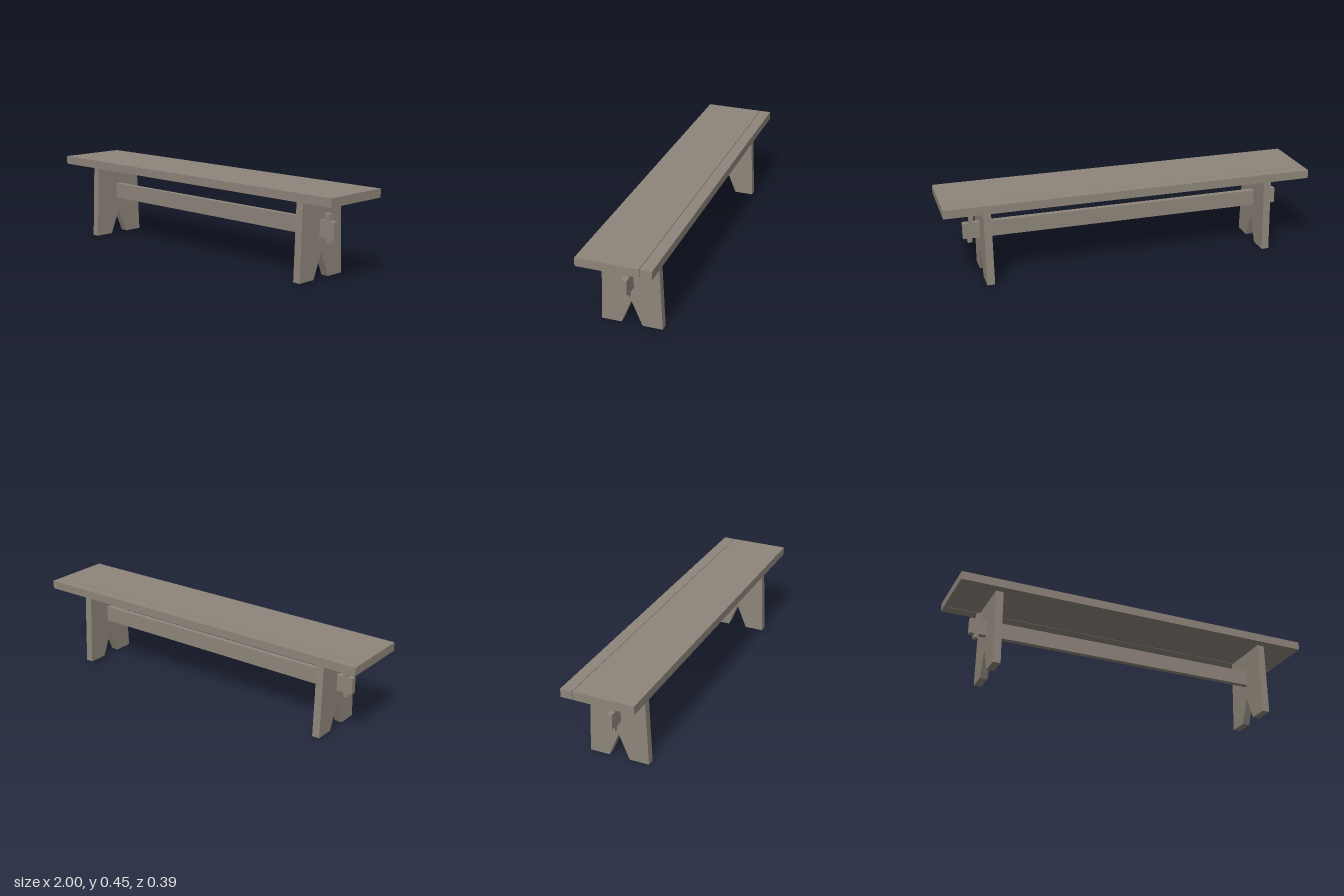
import * as THREE from 'three';

const wood = new THREE.MeshStandardMaterial({ color: 0x8f867b });
wood.name = 'weathered wood';

function add(parent, name, geometry, x = 0, y = 0, z = 0) {
  const mesh = new THREE.Mesh(geometry, wood);
  mesh.name = name;
  mesh.position.set(x, y, z);
  parent.add(mesh);
  return mesh;
}

// Flat outline extruded and centred on its own thickness
function board(points, thickness) {
  const shape = new THREE.Shape(points.map(([a, b]) => new THREE.Vector2(a, b)));
  return new THREE.ExtrudeGeometry(shape, { depth: thickness, bevelEnabled: false })
    .translate(0, 0, -thickness / 2);
}

export function createModel() {
  const bench = new THREE.Group();
  bench.name = 'bench';

  // Seat: a wide plank and a narrow one with a thin gap between
  add(bench, 'wideSeatPlank', new THREE.BoxGeometry(2, 0.045, 0.322), 0, 0.4315, 0.032);
  add(bench, 'narrowSeatPlank', new THREE.BoxGeometry(2, 0.045, 0.061), 0, 0.4315, -0.1625);

  // Trestle sits very slightly off centre under the seat
  const trestle = new THREE.Group();
  trestle.name = 'trestle';
  trestle.position.x = -0.005;
  bench.add(trestle);

  // Long stretcher passing through both legs
  add(trestle, 'stretcher', new THREE.BoxGeometry(1.772, 0.086, 0.03), 0, 0.255, 0);

  // Tapered leg boards with a V notch at the foot
  const legGeometry = board([
    [-0.162, 0], [-0.056, 0], [0, 0.134], [0.056, 0],
    [0.162, 0], [0.146, 0.409], [-0.146, 0.409],
  ], 0.041).rotateY(Math.PI / 2);

  for (const side of [-1, 1]) {
    const label = side > 0 ? 'left' : 'right';
    add(trestle, label + 'Leg', legGeometry, side * 0.7765, 0, 0);
    // Slanted peg locking the stretcher end
    const pegPoints = [[0.839, 0.190], [0.863, 0.188], [0.850, 0.333], [0.827, 0.335]];
    add(trestle, label + 'Peg', board(pegPoints.map(([x, y]) => [side * x, y]), 0.03));
  }
  return bench;
}
